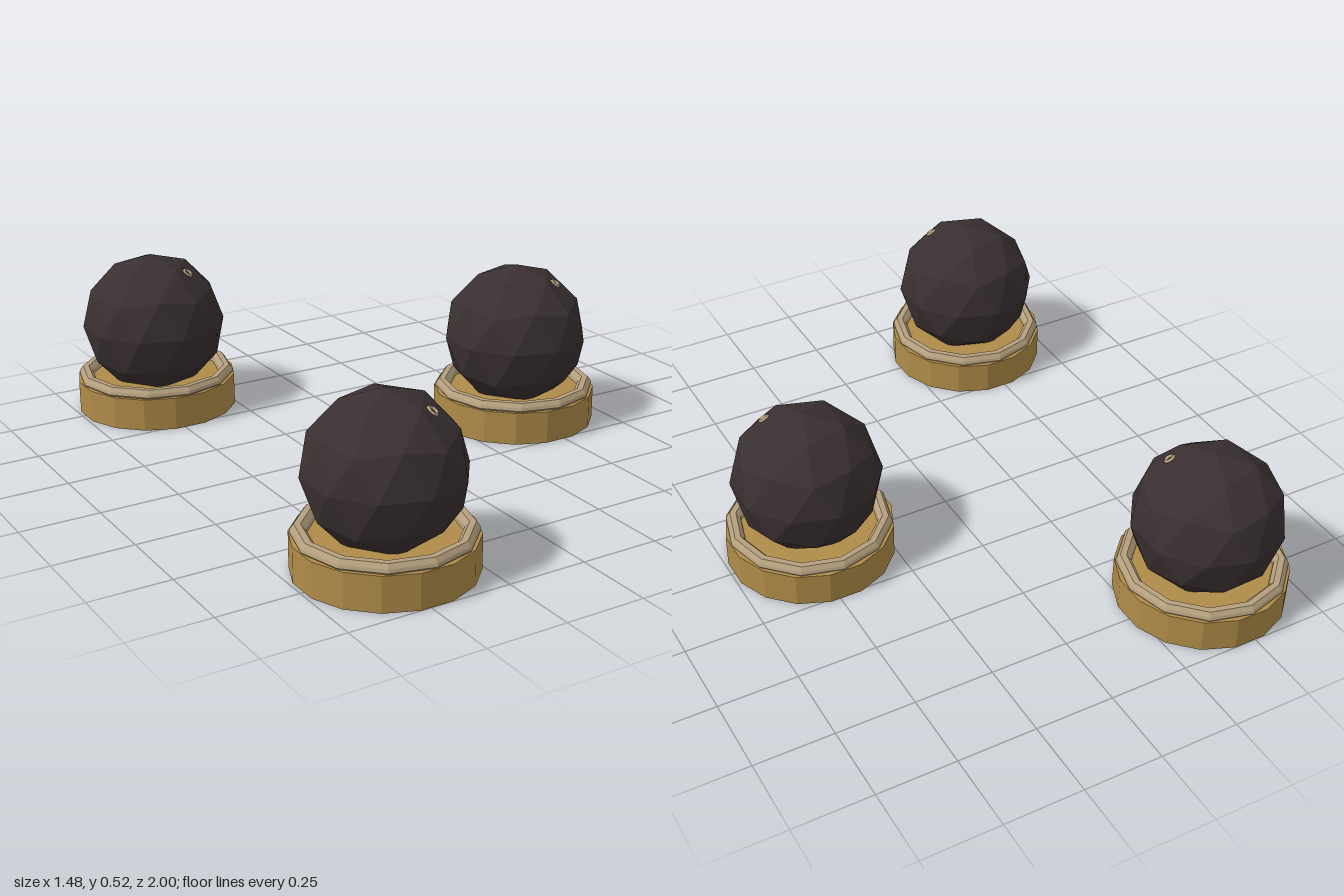
import * as THREE from 'three';

const gold = new THREE.MeshStandardMaterial({ color: 0xb08c48 });
gold.name = 'gold';
const paleBrass = new THREE.MeshStandardMaterial({ color: 0xb5a07e });
paleBrass.name = 'pale brass';
const charcoal = new THREE.MeshStandardMaterial({ color: 0x3a3031 });
charcoal.name = 'charcoal';

// One normal per facet, for the low-poly look
function faceted(geometry) {
  const flat = geometry.index ? geometry.toNonIndexed() : geometry;
  flat.computeVertexNormals();
  return flat;
}

function part(name, geometry, material) {
  const mesh = new THREE.Mesh(faceted(geometry), material);
  mesh.name = name;
  return mesh;
}

function createOrbOnStand() {
  const group = new THREE.Group();
  group.name = 'orbOnStand';

  // Sixteen-sided plinth
  const plinth = new THREE.CylinderGeometry(0.264, 0.264, 0.107, 16);
  plinth.rotateY(Math.PI / 16);
  plinth.translate(0, 0.0535, 0);
  group.add(part('plinth', plinth, gold));

  // Rounded rim resting on the plinth
  const profile = [
    [0.253, 0.102], [0.26, 0.112], [0.257, 0.122], [0.247, 0.135],
    [0.228, 0.135], [0.215, 0.12], [0.212, 0.102],
  ].map(([r, y]) => new THREE.Vector2(r, y));
  const rim = new THREE.LatheGeometry(profile, 12, Math.PI / 2);
  group.add(part('rim', rim, paleBrass));

  // Orb: one corner straight up, its neighbour leaning to +x
  const ball = new THREE.IcosahedronGeometry(0.235, 1);
  ball.rotateX(-Math.atan2((1 + Math.sqrt(5)) / 2, 1));
  ball.rotateY(Math.PI / 2);
  const orb = part('orb', ball, charcoal);
  orb.position.y = 0.29;
  group.add(orb);

  // Small eyelet set into the upper front of the orb
  const outward = new THREE.Vector3(0.087, 0.181, 0.096);
  const eyelet = part('eyelet', new THREE.TorusGeometry(0.014, 0.006, 4, 8), paleBrass);
  eyelet.position.copy(outward).add(orb.position);
  eyelet.quaternion.setFromUnitVectors(new THREE.Vector3(0, 0, 1), outward.clone().normalize());
  group.add(eyelet);

  return group;
}

export function createModel() {
  const model = new THREE.Group();
  model.name = 'threeOrbs';
  for (const [x, z] of [[-0.48, -0.74], [0.48, 0], [-0.48, 0.74]]) {
    const orb = createOrbOnStand();
    orb.position.set(x, 0, z);
    model.add(orb);
  }
  return model;
}
